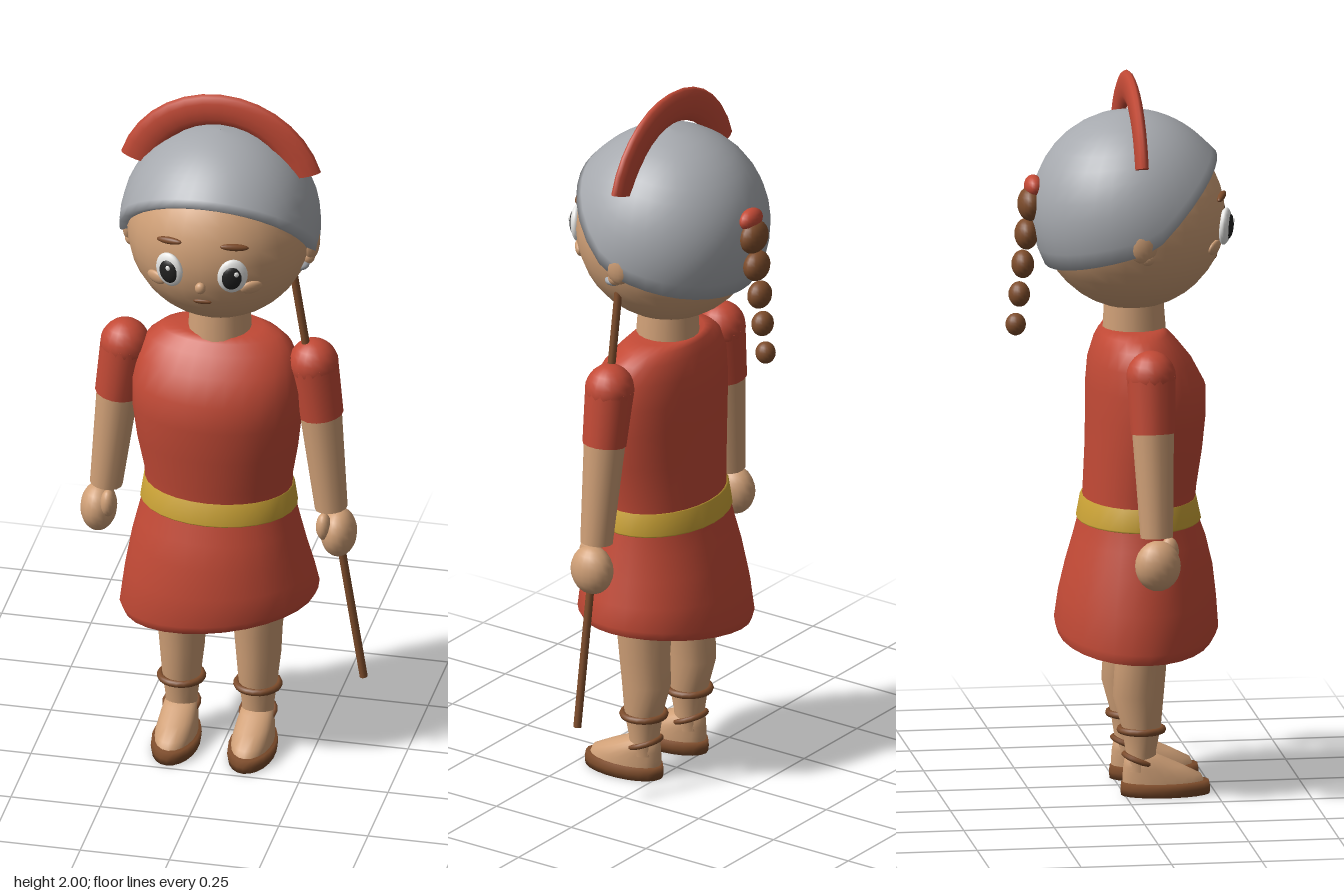
import * as THREE from 'three';

const mat = (name, color, side = THREE.FrontSide) => {
  const m = new THREE.MeshStandardMaterial({ color, side });
  m.name = name;
  return m;
};

// Closed rings stacked from bottom to top: f(row, angle) gives each point
function rings(rows, segs, f) {
  const pos = [], idx = [];
  for (let i = 0; i < rows; i++)
    for (let j = 0; j < segs; j++) pos.push(...f(i, (j / segs) * Math.PI * 2));
  for (let i = 0; i < rows - 1; i++)
    for (let j = 0; j < segs; j++) {
      const k = (j + 1) % segs, a = i * segs, b = a + segs;
      idx.push(a + j, a + k, b + k, a + j, b + k, b + j);
    }
  const g = new THREE.BufferGeometry();
  g.setAttribute('position', new THREE.Float32BufferAttribute(pos, 3));
  g.setIndex(idx);
  g.computeVertexNormals();
  return g;
}

// Oval sections [y, half width, back z, front z, sideways tilt]
const loft = (s, segs = 28) => rings(s.length, segs, (i, a) => {
  const [y, rx, z0, z1, tilt = 0] = s[i];
  const x = rx * Math.sin(a);
  return [x, y + tilt * x, (z0 + z1) / 2 + ((z1 - z0) / 2) * Math.cos(a)];
});

export function createModel() {
  const skin = mat('skin', 0xd0a077);
  const red = mat('red cloth', 0xc34a36, THREE.DoubleSide);
  const steel = mat('steel', 0xa6a9ae, THREE.DoubleSide);
  const brown = mat('brown', 0x7d4c2b);
  const gold = mat('gold', 0xcba336, THREE.DoubleSide);
  const white = mat('white', 0xe8e8e6);
  const black = mat('black', 0x222222);

  const model = new THREE.Group();
  model.name = 'soldier';
  const body = new THREE.Group();
  body.name = 'body';
  body.position.x = -0.017;
  model.add(body);

  const add = (name, geo, m, parent = body) => {
    const mesh = new THREE.Mesh(geo, m);
    mesh.name = name;
    parent.add(mesh);
    return mesh;
  };
  const ball = (name, m, p, s, parent = body) => {
    const b = add(name, new THREE.SphereGeometry(1, 18, 12), m, parent);
    b.position.set(...p);
    b.scale.set(...s);
    return b;
  };
  // Tapered round bar from a to b
  const limb = (name, m, a, b, ra, rb, segs = 14) => {
    const A = new THREE.Vector3(...a), B = new THREE.Vector3(...b), d = A.clone().sub(B);
    const mesh = add(name, new THREE.CylinderGeometry(ra, rb, d.length(), segs), m);
    mesh.position.copy(A).add(B).multiplyScalar(0.5);
    mesh.quaternion.setFromUnitVectors(new THREE.Vector3(0, 1, 0), d.normalize());
    return mesh;
  };

  // Tunic, skirt with a slanted hem, and belt
  add('tunic', loft([
    [0.79, 0.203, -0.1, 0.205], [0.85, 0.206, -0.097, 0.211], [0.95, 0.224, -0.092, 0.226],
    [1.05, 0.236, -0.09, 0.236], [1.13, 0.236, -0.09, 0.235], [1.2, 0.224, -0.084, 0.198],
    [1.25, 0.2, -0.068, 0.158], [1.277, 0.165, -0.055, 0.132], [1.29, 0.12, -0.045, 0.12],
    [1.29, 0.01, 0.03, 0.05],
  ]), red);
  add('skirt', loft([
    [0.435, 0.265, -0.168, 0.255, 0.155], [0.462, 0.276, -0.176, 0.271, 0.14],
    [0.545, 0.262, -0.165, 0.265, 0.06], [0.63, 0.243, -0.146, 0.255], [0.7, 0.226, -0.126, 0.238],
    [0.76, 0.211, -0.11, 0.216], [0.81, 0.203, -0.1, 0.205],
  ]), red);
  add('belt', loft([
    [0.752, 0.214, -0.113, 0.22], [0.757, 0.218, -0.116, 0.224],
    [0.817, 0.209, -0.105, 0.211], [0.817, 0.199, -0.096, 0.201],
  ]), gold);

  // Neck and head
  limb('neck', skin, [0, 1.4, 0.04], [0, 1.27, 0.042], 0.08, 0.088, 18);
  const R = 0.255, head = new THREE.Group();
  head.name = 'head';
  head.position.set(0, 1.598, 0.037);
  body.add(head);
  add('face', new THREE.SphereGeometry(R, 28, 20), skin, head);

  // Small groups sitting on the face and turned outward
  const onFace = (name, x, y) => {
    const g = new THREE.Group(), z = Math.sqrt(R * R - x * x - y * y);
    g.name = name;
    g.position.set(x, y, z);
    g.rotation.set(-Math.atan2(y, Math.hypot(x, z)), Math.atan2(x, z), 0, 'YXZ');
    head.add(g);
    return g;
  };
  for (const s of [-1, 1]) {
    const eye = onFace('eye', s * 0.087, -0.018);
    ball('eyeWhite', white, [0, 0, 0.004], [0.042, 0.052, 0.018], eye);
    ball('iris', black, [-s * 0.003, 0, 0.013], [0.029, 0.037, 0.014], eye);
    ball('eyeShine', white, [0.008, 0.016, 0.024], [0.007, 0.008, 0.004], eye);
    const brow = ball('eyebrow', brown, [0, 0, 0.004], [0.04, 0.01, 0.01], onFace('brow', s * 0.09, 0.065));
    brow.rotation.z = -s * 0.12;
    ball('cheek', skin, [0, 0, 0], [0.032, 0.021, 0.011], onFace('cheekSpot', s * 0.133, -0.067));
    ball('ear', skin, [s * 0.252, -0.025, -0.008], [0.024, 0.054, 0.042], head);
    ball('earLobe', skin, [s * 0.246, -0.065, 0.006], [0.02, 0.022, 0.022], head);
  }
  ball('nose', skin, [0, 0, 0.004], [0.015, 0.018, 0.014], onFace('noseSpot', 0, -0.062));
  ball('mouth', brown, [0, 0, 0], [0.026, 0.008, 0.006], onFace('mouthSpot', 0, -0.118));

  // Helmet: a dome cut by a rim that rises to the front, with a turned-in edge
  const rimY = z => 1.555 + (z - 0.06) * (z > 0.06 ? 1.05 : 0.32);
  const dome = (r, t, a) => [r * Math.sin(t) * Math.sin(a), 1.62 + r * Math.cos(t), 0.032 + r * Math.sin(t) * Math.cos(a)];
  add('helmet', rings(14, 36, (i, a) => {
    let lo = 0, hi = 2.6;
    for (let k = 0; k < 30; k++) {
      const t = (lo + hi) / 2, p = dome(0.275, t, a);
      if (p[1] > rimY(p[2])) lo = t; else hi = t;
    }
    if (i === 0) return dome(0.25, lo, a);
    const f = 1 - (i - 1) / 12;
    return dome(0.272 + 0.008 * f ** 6, Math.max(lo * f, 0.002), a);
  }), steel);

  // Crest: flattened arch running from side to side
  const crest = new THREE.Group();
  crest.name = 'crest';
  crest.position.set(0, 1.708, 0.029);
  crest.scale.z = 0.38;
  body.add(crest);
  const a0 = 0.29, span = Math.PI - 2 * a0;
  const arch = add('crestArch', new THREE.TorusGeometry(0.245, 0.047, 12, 14, span), red, crest);
  arch.rotation.z = a0;
  for (const a of [a0, Math.PI - a0]) {
    const cap = add('crestEnd', new THREE.CircleGeometry(0.047, 12), red, crest);
    cap.position.set(0.245 * Math.cos(a), 0.245 * Math.sin(a), 0);
    cap.rotation.set(Math.PI / 2, a, 0, 'ZYX');
    cap.rotation.set(Math.PI / 2, 0, a, 'ZXY');
  }

  // Braid: shrinking beads below a red tie
  ball('braidTie', red, [0, 1.69, -0.236], [0.044, 0.03, 0.026]);
  for (let i = 0; i < 5; i++)
    ball('braidBead', brown, [0, 1.64 - i * 0.084, -0.246 - i * 0.0098],
      [0.052 - i * 0.006, 0.047 - i * 0.004, 0.034 - i * 0.0015]);

  // Arms and legs
  for (const s of [-1, 1]) {
    ball('shoulder', red, [s * 0.264, 1.205, 0.05], [0.069, 0.071, 0.068]);
    limb('sleeve', red, [s * 0.264, 1.205, 0.05], [s * 0.286, 1.05, 0.052], 0.068, 0.061);
    limb('forearm', skin, [s * 0.284, 1.06, 0.052], [s * 0.315, 0.765, 0.058], 0.058, 0.045);
    ball('hand', skin, [s * 0.336, 0.69, 0.058], [0.05, 0.07, 0.063]);
    ball('thumb', skin, [s * 0.302, 0.722, 0.095], [0.021, 0.04, 0.026]);

    const leg = new THREE.Group();
    leg.name = 'leg';
    leg.position.x = s * 0.107;
    body.add(leg);
    add('legSkin', loft([
      [0.07, 0.045, 0, 0.088], [0.12, 0.044, 0.003, 0.086], [0.19, 0.053, -0.008, 0.1],
      [0.28, 0.062, -0.033, 0.108], [0.36, 0.067, -0.028, 0.115], [0.48, 0.078, -0.035, 0.125],
      [0.72, 0.09, -0.045, 0.135],
    ], 18), skin, leg);
    const band = add('calfStrap', new THREE.TorusGeometry(0.058, 0.01, 8, 20), brown, leg);
    band.position.set(0, 0.183, 0.046);
    band.rotation.x = Math.PI / 2;
    const strap = add('ankleStrap', new THREE.TorusGeometry(0.046, 0.008, 8, 18), brown, leg);
    strap.position.set(0, 0.098, 0.043);
    strap.rotation.x = Math.PI / 2 + 0.35;
    add('foot', loft([
      [0.03, 0.057, -0.005, 0.222], [0.055, 0.056, -0.006, 0.21], [0.08, 0.051, -0.004, 0.16],
      [0.105, 0.045, 0, 0.105], [0.118, 0.03, 0.015, 0.075], [0.12, 0.002, 0.043, 0.047],
    ], 20), skin, leg);
    add('sole', loft([
      [0, 0.002, 0.11, 0.115], [0, 0.063, -0.01, 0.235], [0.018, 0.066, -0.012, 0.236],
      [0.037, 0.064, -0.01, 0.232], [0.037, 0.002, 0.11, 0.115],
    ], 22), brown, leg);
  }

  // Spear leaning outward through the left hand, with a small metal tip
  limb('spearShaft', brown, [0.207, 1.5, 0.058], [0.406, 0.245, 0.058], 0.011, 0.011, 10);
  ball('spearTip', steel, [0.228, 1.515, 0.06], [0.026, 0.014, 0.026]);
  return model;
}
